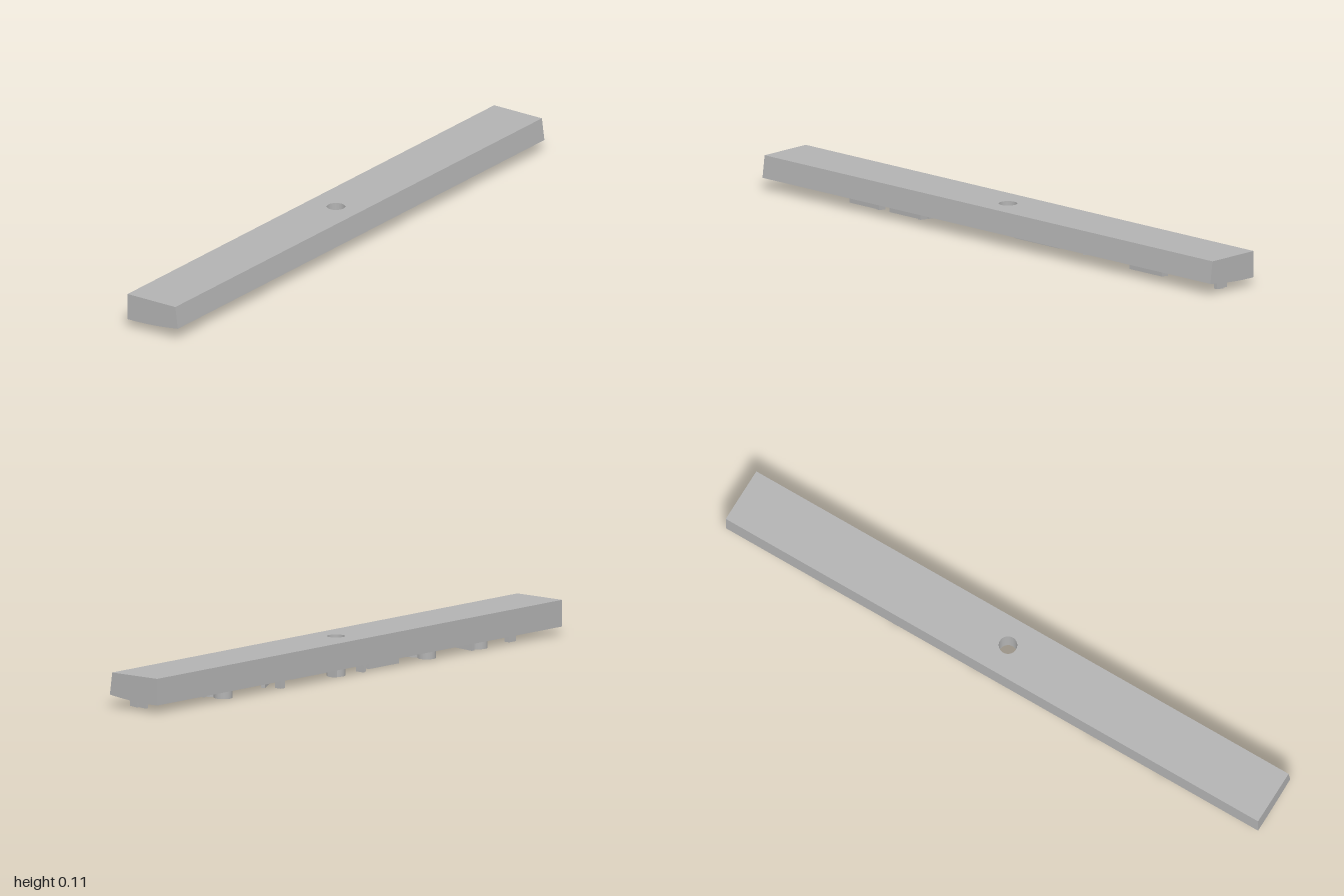
import * as THREE from 'three';

const grey = new THREE.MeshStandardMaterial({ color: 0xb2b2b2 });
grey.name = 'plain grey';

const TOP = 0.115, HALF = 0.1, HOLE = 0.03, MID = 0.06, RELIEF = 0.026;
// height of the gently curved underside
const under = (x) => 0.031 + 0.07 * x + 0.4 * x * x;

// extrude a plan outline (x, -z) upward, then set bottom and top heights by rule
function planSolid(shape, bottom, top, shear) {
  const g = new THREE.ExtrudeGeometry(shape, { depth: 1, bevelEnabled: false, curveSegments: 20 });
  g.rotateX(-Math.PI / 2);
  const p = g.attributes.position;
  for (let i = 0; i < p.count; i++) {
    const x = p.getX(i), up = p.getY(i) > 0.5;
    p.setY(i, up ? top(x) : bottom(x));
    if (up && shear && x > HALF - 1e-4) p.setX(i, 0.09);
  }
  g.computeVertexNormals();
  return g;
}

function rectShape(x0, x1, z0, z1, steps = 1) {
  const pts = [];
  for (let i = 0; i <= steps; i++) pts.push(new THREE.Vector2(x0 + (x1 - x0) * i / steps, -z1));
  for (let i = steps; i >= 0; i--) pts.push(new THREE.Vector2(x0 + (x1 - x0) * i / steps, -z0));
  return new THREE.Shape(pts);
}

function addHole(shape, x, z, r) {
  shape.holes.push(new THREE.Path().absarc(x, -z, r, 0, Math.PI * 2, true));
  return shape;
}

export function createModel() {
  const model = new THREE.Group();
  const add = (name, geometry, parent = model) => {
    const m = new THREE.Mesh(geometry, grey);
    m.name = name;
    parent.add(m);
    return m;
  };

  // long end blocks: cross-section with one sloped side and a curved underside
  const section = new THREE.Shape();
  section.moveTo(-HALF, TOP);
  for (let i = 0; i <= 16; i++) {
    const x = -HALF + 2 * HALF * i / 16;
    section.lineTo(x, under(x));
  }
  section.lineTo(0.09, TOP);
  for (const [name, z] of [['frontBlock', MID], ['backBlock', -1]]) {
    const g = new THREE.ExtrudeGeometry(section, { depth: 1 - MID, bevelEnabled: false });
    add(name, g.translate(0, 0, z));
  }

  // middle block with the vertical through hole
  const middle = addHole(rectShape(-HALF, HALF, -MID, MID, 16), 0, 0, HOLE);
  add('drilledBlock', planSolid(middle, under, () => TOP, true));

  // raised relief on the underside
  const relief = new THREE.Group();
  relief.name = 'undersideRelief';
  model.add(relief);
  const raise = (name, shape) =>
    add(name, planSolid(shape, (x) => under(x) - RELIEF, (x) => under(x) + 0.003, false), relief);

  // straight ribs: x range, z range
  const ribs = [
    [0.033, 0.045, 0.525, 0.665], [0.033, 0.045, 0.34, 0.485],
    [-0.062, -0.05, 0.09, 0.24], [-0.012, 0, -0.23, -0.03],
    [0.033, 0.045, -0.73, -0.585], [-0.085, 0.03, 0.572, 0.586],
  ];
  ribs.forEach((r) => raise('rib', rectShape(...r)));

  // slanted rib
  raise('slantedRib', new THREE.Shape([
    [0.005, 0.34], [-0.035, 0.41], [-0.047, 0.405], [-0.007, 0.335],
  ].map(([x, y]) => new THREE.Vector2(x, y)).reverse()));

  // small pegs: x, z, x size, z size
  const pegs = [
    [-0.06, 0.79, 0.02, 0.035], [0.036, 0.532, 0.03, 0.012], [0.036, 0.347, 0.03, 0.012],
    [0.0, 0.345, 0.03, 0.012], [-0.06, 0.055, 0.03, 0.01], [-0.075, 0.035, 0.03, 0.01],
    [-0.07, -0.1, 0.03, 0.012], [-0.08, -0.37, 0.025, 0.02], [0.03, -0.724, 0.03, 0.012],
    [-0.005, -0.67, 0.03, 0.012], [0.025, -0.965, 0.03, 0.012], [-0.002, -0.955, 0.03, 0.012],
  ];
  pegs.forEach(([x, z, w, d]) => raise('peg', rectShape(x - w / 2, x + w / 2, z - d / 2, z + d / 2)));

  // open rings
  const rings = [
    [-0.01, 0.63], [-0.062, 0.63], [-0.008, 0.37], [-0.062, 0.375],
    [-0.06, -0.07], [-0.01, -0.63], [-0.062, -0.63],
  ];
  rings.forEach(([x, z]) => {
    const s = new THREE.Shape().absarc(x, -z, 0.03, 0, Math.PI * 2, false);
    raise('ring', addHole(s, x, z, 0.02));
  });

  return model;
}
